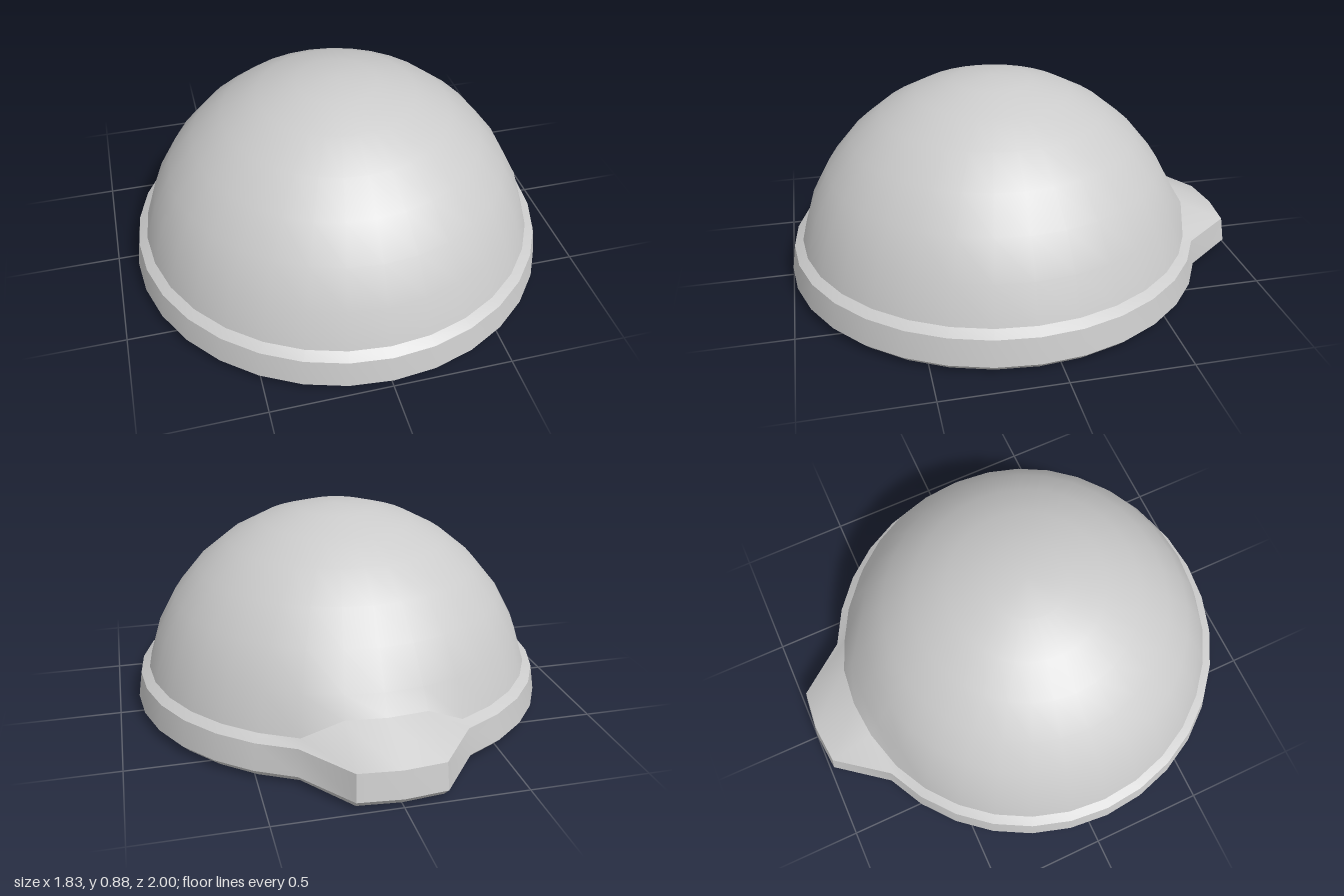
import * as THREE from 'three';
import { toCreasedNormals } from 'three/addons/utils/BufferGeometryUtils.js';

const SEGMENTS = 32;
const STEP = Math.PI * 2 / SEGMENTS;
const RADIUS = 0.875;   // dome sphere radius
const CENTRE_Z = 0.086; // dome axis
const BASE_Y = RADIUS * Math.sin(STEP);
const BASE_R = RADIUS * Math.cos(STEP);

// Revolve a profile (listed bottom to top), then pull out the tab at the back.
function shell(name, profile) {
  const lathe = new THREE.LatheGeometry(profile.map(([r, y]) => new THREE.Vector2(r, y)), SEGMENTS);
  const pos = lathe.attributes.position;
  for (let i = 0; i < pos.count; i++) {
    const column = Math.floor(i / profile.length);
    if (Math.abs(column - SEGMENTS / 2) > 1) continue;
    const y = pos.getY(i);
    if (y < BASE_Y - 0.01) pos.setZ(i, pos.getZ(i) - 0.17); // rim pushed outward
    else if (y < BASE_Y + 0.01) pos.setY(i, 0.252);         // tab top climbs the dome
  }
  lathe.translate(0, 0, CENTRE_Z);
  const material = new THREE.MeshStandardMaterial({ color: 0xcccccc, side: THREE.DoubleSide });
  const mesh = new THREE.Mesh(toCreasedNormals(lathe, THREE.MathUtils.degToRad(32)), material);
  mesh.name = name;
  return mesh;
}

export function createModel() {
  const group = new THREE.Group();
  group.name = 'domeCap';

  // Rim: bottom bevel, slightly tapered wall, sloped ledge
  group.add(shell('rimWithTab', [[0.88, 0], [0.914, 0.034], [0.897, 0.146], [BASE_R, BASE_Y]]));

  // Hollow dome, from the ledge to the pole
  const dome = [];
  for (let k = 1; k <= 8; k++) {
    dome.push([k === 8 ? 0 : RADIUS * Math.cos(k * STEP), RADIUS * Math.sin(k * STEP)]);
  }
  group.add(shell('dome', dome));
  return group;
}
